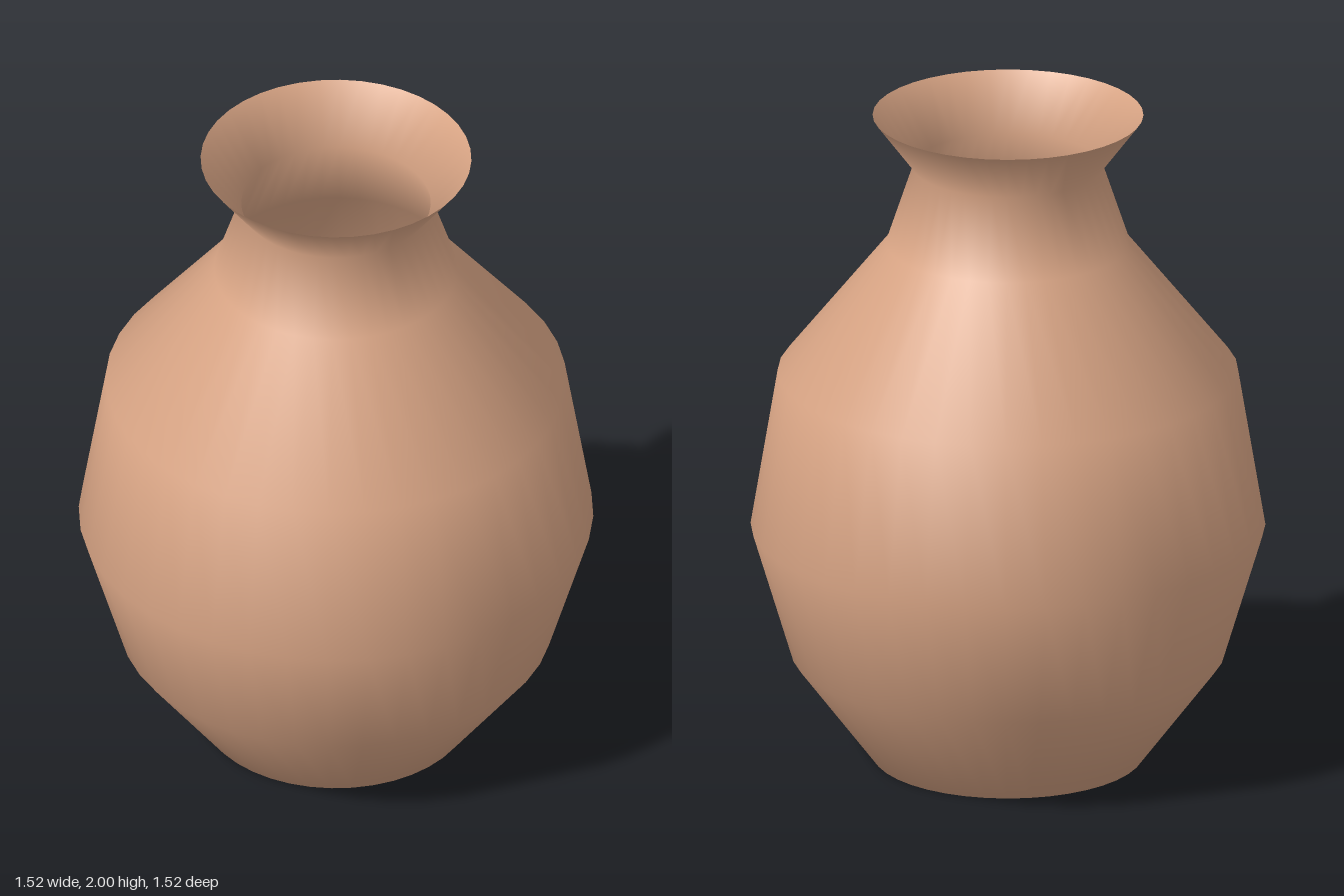
import * as THREE from 'three';

export function createModel() {
  const group = new THREE.Group();
  group.name = 'vase';

  // Thin-walled profile: closed base, faceted belly, narrow neck, flared open lip
  const profile = [
    [0, 0], [0.4, 0], [0.64, 0.32], [0.76, 0.72],
    [0.68, 1.2], [0.36, 1.6], [0.28, 1.84], [0.4, 2],
  ].map(([r, y]) => new THREE.Vector2(r, y));

  const body = new THREE.Mesh(
    new THREE.LatheGeometry(profile, 40),
    new THREE.MeshStandardMaterial({ color: 0xd9a585, side: THREE.DoubleSide })
  );
  body.name = 'vaseBody';
  group.add(body);

  return group;
}
